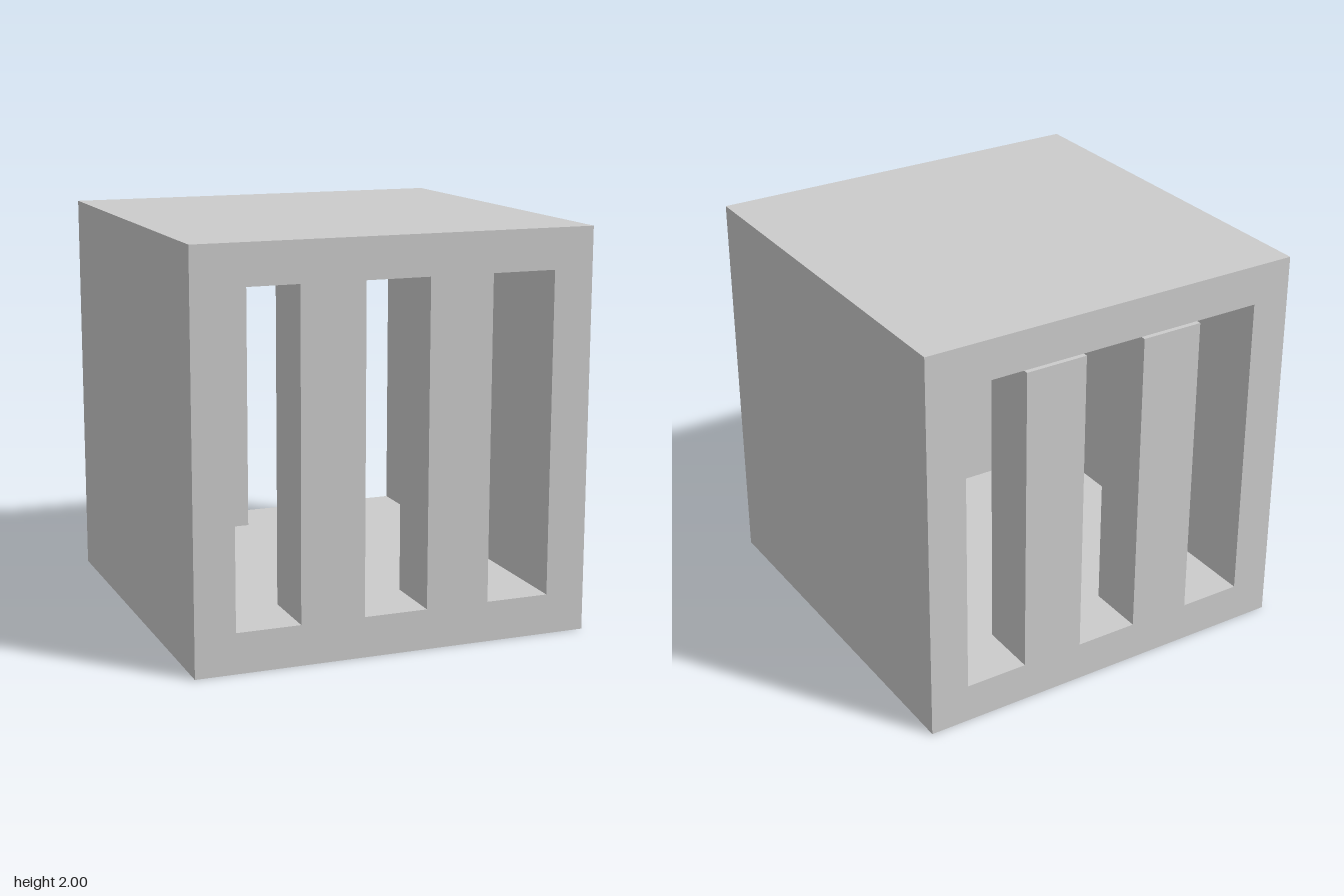
import * as THREE from 'three';

const material = new THREE.MeshStandardMaterial({ color: 0xcccccc, flatShading: true });

// Rectangular outline added to a shape or hole path
function rect(path, x0, y0, x1, y1) {
  path.moveTo(x0, y0);
  path.lineTo(x1, y0);
  path.lineTo(x1, y1);
  path.lineTo(x0, y1);
  path.closePath();
  return path;
}

function bar(name, x, height, z0, z1) {
  const mesh = new THREE.Mesh(new THREE.BoxGeometry(0.32, height, z1 - z0), material);
  mesh.name = name;
  mesh.position.set(x, 0.2 + height / 2, (z0 + z1) / 2);
  return mesh;
}

export function createModel() {
  const group = new THREE.Group();
  group.name = 'barredCube';

  // Hollow cube, open at the front and the back
  const outline = rect(new THREE.Shape(), -1, 0, 1, 2);
  outline.holes.push(rect(new THREE.Path(), -0.8, 0.2, 0.8, 1.8));
  const frameGeometry = new THREE.ExtrudeGeometry(outline, { depth: 2, bevelEnabled: false });
  frameGeometry.translate(0, 0, -1);
  const frame = new THREE.Mesh(frameGeometry, material);
  frame.name = 'frame';
  group.add(frame);

  // Two upright bars in each opening; the back pair stops just short of the top
  for (const [side, x] of [['left', 0.32], ['right', -0.32]]) {
    group.add(bar(side + 'FrontBar', x, 1.6, 0.67, 1));
    group.add(bar(side + 'BackBar', x, 1.585, -1, -0.7));
  }
  return group;
}
